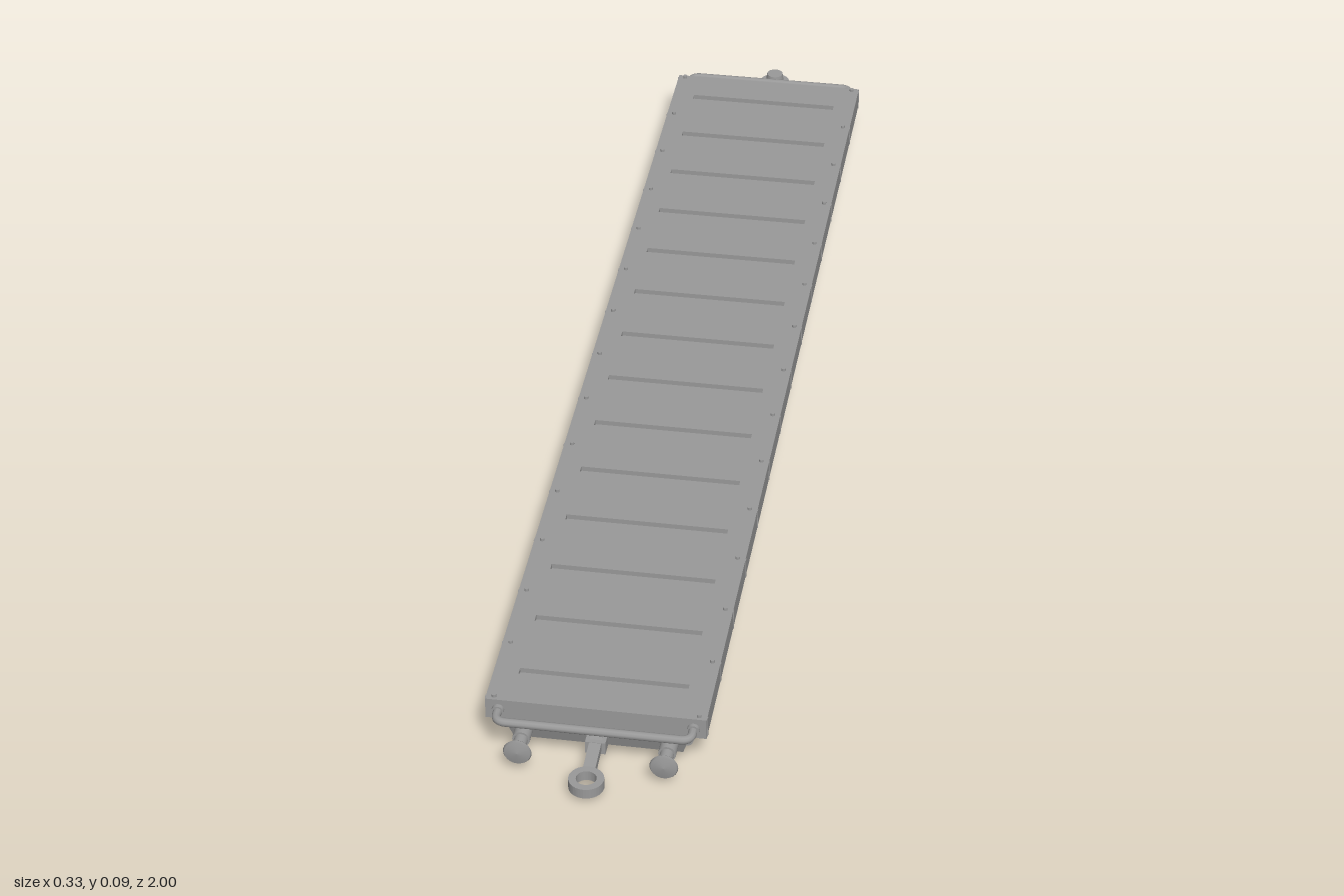
import * as THREE from 'three';

const grey = new THREE.MeshStandardMaterial({ color: 0x999999 });

export function createModel() {
  const root = new THREE.Group();
  root.name = 'flatWagon';

  const add = (parent, name, geo, x = 0, y = 0, z = 0) => {
    const m = new THREE.Mesh(geo, grey);
    m.name = name;
    m.position.set(x, y, z);
    parent.add(m);
    return m;
  };
  const box = (w, h, d) => new THREE.BoxGeometry(w, h, d);
  const rod = (r1, r2, l) => new THREE.CylinderGeometry(r1, r2, l, 24);
  const rodZ = (r1, r2, l) => rod(r1, r2, l).rotateX(Math.PI / 2);
  const rect = (path, w, h, y = 0) => path.moveTo(-w / 2, y - h / 2).lineTo(w / 2, y - h / 2)
    .lineTo(w / 2, y + h / 2).lineTo(-w / 2, y + h / 2).closePath();

  // Deck slab with a floor plate cut by cross slots
  const step = 0.1265;
  add(root, 'deck', box(0.324, 0.026, 1.786), 0, 0.066, 0);
  const plate = rect(new THREE.Shape(), 0.324, 1.786);
  for (let i = -7; i < 7; i++) plate.holes.push(rect(new THREE.Path(), 0.25, 0.013, (i + 0.5) * step));
  const plateGeo = new THREE.ExtrudeGeometry(plate, { depth: 0.008, bevelEnabled: false })
    .rotateX(-Math.PI / 2);
  add(root, 'floorPlate', plateGeo, 0, 0.079, 0);

  // Edge pins and side straps
  for (let i = -7; i <= 7; i++) {
    for (const s of [-1, 1]) {
      add(root, 'edgePin', rod(0.0035, 0.0035, 0.006), s * 0.15, 0.0885, i * step);
      add(root, 'sideStrap', box(0.002, 0.033, 0.004), s * 0.162, 0.07, i * step);
    }
  }

  // Underframe body: a box narrowed toward its underside
  const body = (name, topA, topB, botA, botB) => {
    const g = box(1, 1, 1);
    const p = g.attributes.position;
    for (let i = 0; i < p.count; i++) {
      const top = p.getY(i) > 0;
      const back = p.getZ(i) < 0;
      p.setXYZ(i, Math.sign(p.getX(i)) * (top ? 0.138 : 0.125), top ? 0.054 : 0.009,
        top ? (back ? topA : topB) : (back ? botA : botB));
    }
    g.computeVertexNormals();
    add(root, name, g);
  };
  body('middleUnderframe', -0.36, 0.36, -0.335, 0.335);
  body('frontUnderframe', 0.74, 0.89, 0.765, 0.875);
  body('rearUnderframe', -0.89, -0.74, -0.875, -0.765);

  // Curved side brackets under the deck edge
  const profile = new THREE.Shape();
  profile.moveTo(0.118, 0.011);
  profile.lineTo(0.130, 0.012);
  profile.quadraticCurveTo(0.136, 0.013, 0.138, 0.021);
  profile.lineTo(0.145, 0.045);
  profile.lineTo(0.158, 0.047);
  profile.lineTo(0.158, 0.054);
  profile.lineTo(0.118, 0.054);
  const right = new THREE.ExtrudeGeometry(profile, { depth: 0.016, bevelEnabled: false, curveSegments: 5 })
    .translate(0, 0, -0.008);
  const left = right.clone().rotateY(Math.PI);
  const ribZ = [0.855, 0.81, 0.775, -0.775, -0.81, -0.855];
  for (let i = 0; i < 10; i++) ribZ.push(-0.322 + i * 0.0715);
  for (const z of ribZ) {
    add(root, 'sideBracket', right, 0, 0, z);
    add(root, 'sideBracket', left, 0, 0, z);
  }

  // Mushroom-shaped buffer head with a shallow domed face
  const head = [[0, -0.006], [0.011, -0.006], [0.019, -0.002], [0.021, 0.001], [0.019, 0.004], [0, 0.006]];
  const headGeo = new THREE.LatheGeometry(head.map(([x, y]) => new THREE.Vector2(x, y)), 28)
    .rotateX(Math.PI / 2);

  // End rails and buffers, the same at both ends
  for (const end of [1, -1]) {
    const g = new THREE.Group();
    g.name = end > 0 ? 'frontEnd' : 'rearEnd';
    if (end < 0) g.rotation.y = Math.PI;
    root.add(g);

    const path = new THREE.CurvePath();
    const v = (x, z) => new THREE.Vector3(x, 0.07, z);
    path.add(new THREE.LineCurve3(v(-0.143, 0.885), v(-0.143, 0.905)));
    path.add(new THREE.QuadraticBezierCurve3(v(-0.143, 0.905), v(-0.143, 0.921), v(-0.127, 0.921)));
    path.add(new THREE.LineCurve3(v(-0.127, 0.921), v(0.127, 0.921)));
    path.add(new THREE.QuadraticBezierCurve3(v(0.127, 0.921), v(0.143, 0.921), v(0.143, 0.905)));
    path.add(new THREE.LineCurve3(v(0.143, 0.905), v(0.143, 0.885)));
    add(g, 'endRail', new THREE.TubeGeometry(path, 120, 0.0065, 10));

    for (const s of [-1, 1]) {
      add(g, 'railCollar', rodZ(0.009, 0.009, 0.008), s * 0.143, 0.07, 0.895);
      add(g, 'bufferSleeve', rodZ(0.013, 0.013, 0.035), s * 0.107, 0.032, 0.893);
      add(g, 'bufferShaft', rodZ(0.010, 0.010, 0.06), s * 0.107, 0.032, 0.91);
      add(g, 'bufferHead', headGeo, s * 0.107, 0.032, 0.938);
    }
    add(g, 'couplerSocket', box(0.03, 0.02, 0.03), 0, 0.021, 0.885);
  }

  // Front coupling: sloping drawbar with a flat eye
  const bar = add(root, 'frontDrawbar', box(0.018, 0.014, 0.078), 0, 0.022, 0.913);
  bar.rotation.x = 0.1;
  const eye = new THREE.Shape();
  eye.absarc(0, 0, 0.026, 0, Math.PI * 2, false);
  const hole = new THREE.Path();
  hole.absarc(0, 0, 0.015, 0, Math.PI * 2, true);
  eye.holes.push(hole);
  const eyeGeo = new THREE.ExtrudeGeometry(eye, { depth: 0.016, bevelEnabled: false, curveSegments: 20 })
    .rotateX(-Math.PI / 2);
  add(root, 'couplingEye', eyeGeo, 0, 0.01, 0.974);

  // Rear coupling: drawbar carrying an upright pin with a wide collar
  add(root, 'rearDrawbar', rodZ(0.01, 0.01, 0.09), 0, 0.034, -0.91);
  add(root, 'pinTip', rod(0.013, 0.007, 0.008), 0, 0.004, -0.974);
  add(root, 'pinStem', rod(0.014, 0.013, 0.018), 0, 0.016, -0.974);
  add(root, 'pinCollar', rod(0.026, 0.026, 0.018), 0, 0.033, -0.974);
  add(root, 'pinHead', rod(0.014, 0.016, 0.016), 0, 0.05, -0.974);

  return root;
}
